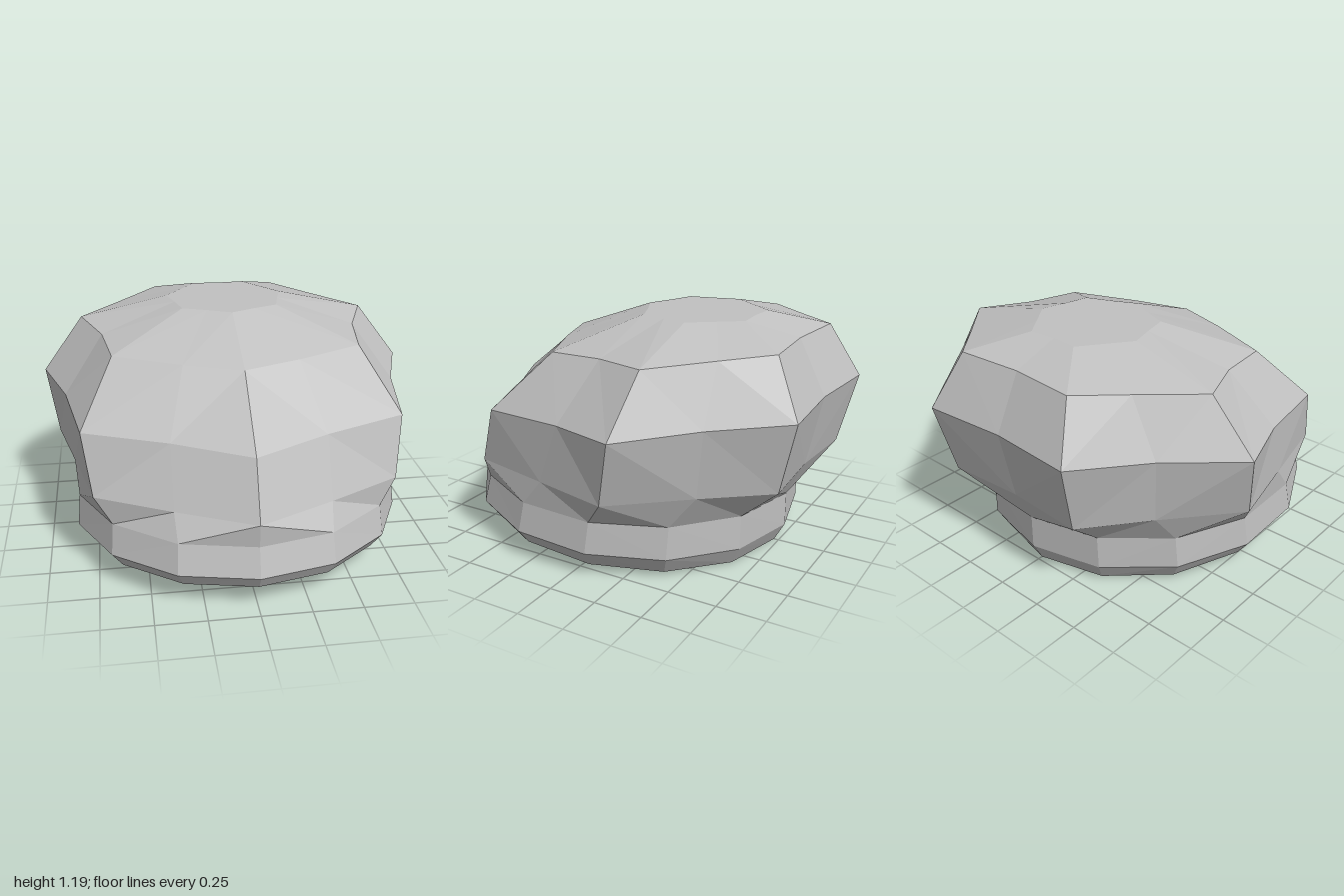
import * as THREE from 'three';

// Each ring runs from the front, round the +x side, to the back.
// Half rings list 8 [x, z] points and are mirrored to 14.
function mirroredRing(half, height) {
  const inner = half.slice(1, -1).reverse().map(([x, z]) => [-x, z]);
  return [...half, ...inner].map(([x, z]) => new THREE.Vector3(x, height(z), z));
}

// Regular 14-sided oval ring on a slightly tilted plane
function ovalRing(rx, rz, cz, height) {
  return Array.from({ length: 14 }, (_, i) => {
    const a = (i / 14) * Math.PI * 2;
    const z = cz + rz * Math.cos(a);
    return new THREE.Vector3(rx * Math.sin(a), height(z), z);
  });
}

// Skins rings listed from top to bottom, with optional end caps
function skin(rings, capTop, capBottom) {
  const points = [];
  const n = rings[0].length;
  const middle = (ring) => ring.reduce((s, p) => s.add(p), new THREE.Vector3()).divideScalar(n);
  for (let r = 0; r < rings.length - 1; r++) {
    for (let i = 0; i < n; i++) {
      const j = (i + 1) % n;
      const [a, b, c, d] = [rings[r][i], rings[r + 1][i], rings[r + 1][j], rings[r][j]];
      // Mirror the diagonal on the other half
      if (i < n / 2) points.push(a, b, c, a, c, d);
      else points.push(a, b, d, b, c, d);
    }
  }
  const top = rings[0], bottom = rings[rings.length - 1];
  const topMid = middle(top), bottomMid = middle(bottom);
  for (let i = 0; i < n; i++) {
    const j = (i + 1) % n;
    if (capTop) points.push(topMid, top[i], top[j]);
    if (capBottom) points.push(bottomMid, bottom[j], bottom[i]);
  }
  const geometry = new THREE.BufferGeometry().setFromPoints(points);
  geometry.computeVertexNormals();
  return geometry;
}

export function createModel() {
  const group = new THREE.Group();
  group.name = 'puffyCap';
  const cloth = new THREE.MeshStandardMaterial({ color: 0xc0c0c0, flatShading: true });
  cloth.name = 'greyCloth';

  const bandTop = ovalRing(0.855, 0.86, 0.08, (z) => 0.307 + 0.036 * z);

  // Seven-lobed crown
  const crownRings = [
    mirroredRing([[0, 0.03], [0.125, -0.03], [0.25, -0.08], [0.28, -0.21],
      [0.315, -0.34], [0.22, -0.47], [0.14, -0.58], [0, -0.57]], () => 1.19),
    mirroredRing([[0, 0.46], [0.29, 0.36], [0.63, 0.21], [0.675, -0.09],
      [0.785, -0.37], [0.54, -0.63], [0.35, -0.84], [0, -0.81]], (z) => 1.058 - 0.06 * z),
    mirroredRing([[0, 0.82], [0.38, 0.63], [0.8, 0.47], [0.88, 0.02],
      [1, -0.33], [0.69, -0.64], [0.445, -0.985], [0, -0.95]], (z) => 0.78 - 0.05 * z),
    mirroredRing([[0, 0.95], [0.38, 0.77], [0.755, 0.575], [0.85, 0.15],
      [0.94, -0.245], [0.65, -0.59], [0.41, -0.895], [0, -0.87]], () => 0.46),
    bandTop,
  ];
  const crown = new THREE.Mesh(skin(crownRings, true, false), cloth);
  crown.name = 'crown';

  // Head band with a bevelled lower edge and closed base
  const bandRings = [
    bandTop,
    ovalRing(0.87, 0.8825, 0.1025, (z) => 0.142 + 0.054 * z),
    ovalRing(0.805, 0.833, 0.108, (z) => 0.054 + 0.075 * z),
  ];
  const band = new THREE.Mesh(skin(bandRings, false, true), cloth);
  band.name = 'headBand';

  group.add(crown, band);
  return group;
}
